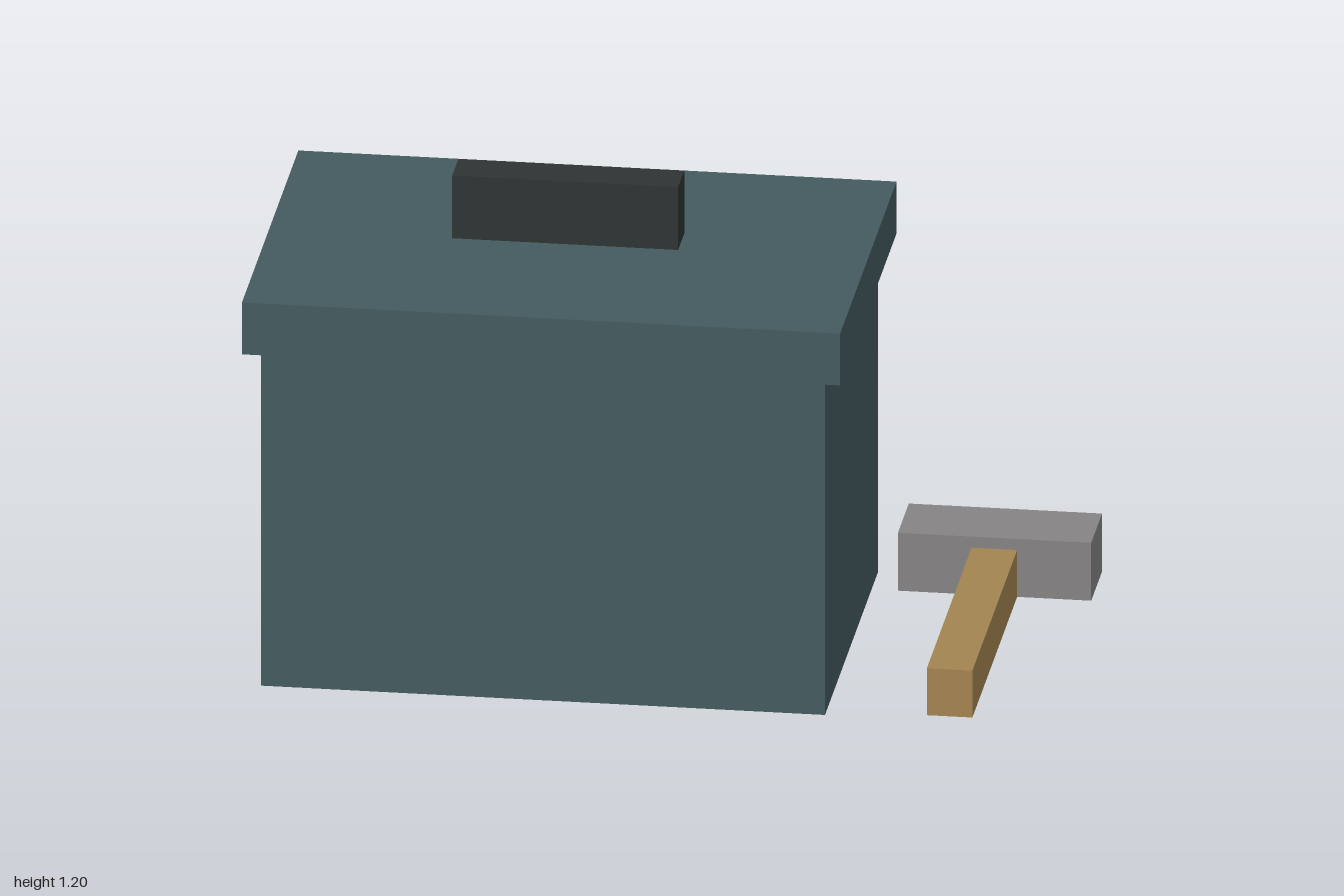
import * as THREE from 'three';

const flat = (name, color) => {
  const m = new THREE.MeshStandardMaterial({ color });
  m.name = name;
  return m;
};

// Box given by its extents along each axis
function block(name, material, [x0, x1], [y0, y1], [z0, z1]) {
  const mesh = new THREE.Mesh(new THREE.BoxGeometry(x1 - x0, y1 - y0, z1 - z0), material);
  mesh.position.set((x0 + x1) / 2, (y0 + y1) / 2, (z0 + z1) / 2);
  mesh.name = name;
  return mesh;
}

export function createModel() {
  const teal = flat('teal', 0x435a5f);
  const charcoal = flat('charcoal', 0x2d3433);
  const steel = flat('steel grey', 0x858383);
  const wood = flat('wood', 0xa38450);

  // Toolbox: body, overhanging lid and a grip floating just above it
  const toolbox = new THREE.Group();
  toolbox.name = 'toolbox';
  toolbox.add(
    block('boxBody', teal, [-0.957, 0.429], [0, 0.878], [-0.553, 0.389]),
    block('boxLid', teal, [-1, 0.47], [0.878, 1.014], [-0.582, 0.416]),
    block('boxGrip', charcoal, [-0.545, 0.01], [1.03, 1.195], [-0.138, -0.029]),
  );

  // Hammer beside the box, its handle pointing forward
  const hammer = new THREE.Group();
  hammer.name = 'hammer';
  hammer.add(
    block('hammerHead', steel, [0.525, 1], [0.092, 0.244], [-0.402, -0.21]),
    block('hammerHandle', wood, [0.706, 0.818], [0.092, 0.215], [-0.21, 0.582]),
  );

  const model = new THREE.Group();
  model.name = 'toolboxAndHammer';
  model.add(toolbox, hammer);
  return model;
}
